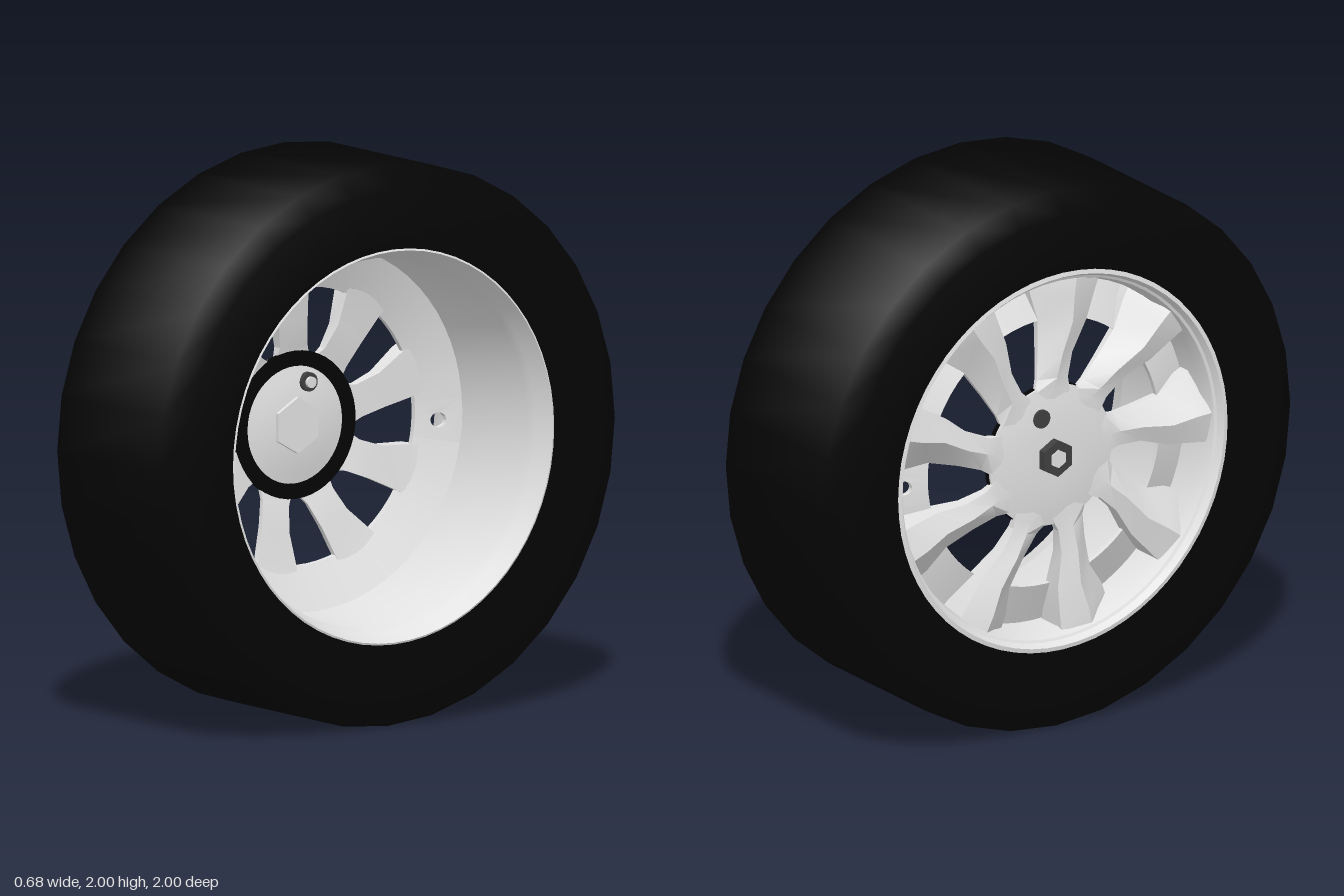
import * as THREE from 'three';
import { toCreasedNormals } from 'three/addons/utils/BufferGeometryUtils.js';

const rubber = new THREE.MeshStandardMaterial({ color: 0x040404, side: THREE.DoubleSide });
rubber.name = 'black rubber';
const alloy = new THREE.MeshStandardMaterial({ color: 0xe2e2e2, side: THREE.DoubleSide });
alloy.name = 'light alloy';
const steel = new THREE.MeshStandardMaterial({ color: 0x404040, side: THREE.DoubleSide });
steel.name = 'dark steel';

const deg = Math.PI / 180;
const BORE = 0.495, FLANGE = 0.655;
const flangeX = (r) => -0.2 + (r - BORE) * 0.45;

function addMesh(parent, name, geometry, material, crease = 0.5) {
  const mesh = new THREE.Mesh(toCreasedNormals(geometry, crease), material);
  mesh.name = name;
  parent.add(mesh);
  return mesh;
}

// Revolve [radius, x] points around the axle (the x axis)
function turned(profile, segments, start = 0, length = Math.PI * 2) {
  const points = profile.map(([r, x]) => new THREE.Vector2(r, x));
  return new THREE.LatheGeometry(points, segments, start, length).rotateZ(-Math.PI / 2);
}

// Small sector of the sloping flange, pierced by the valve hole
function valvePatchGeometry(from, to) {
  const shape = new THREE.Shape();
  shape.absarc(0, 0, FLANGE, from, to);
  shape.absarc(0, 0, BORE, to, from, true);
  shape.holes.push(new THREE.Path().absarc(0.572, -0.03, 0.026, 0, Math.PI * 2, true));
  const g = new THREE.ExtrudeGeometry(shape, { depth: 0.02, bevelEnabled: false, curveSegments: 16 });
  g.rotateY(Math.PI / 2);
  const p = g.attributes.position;
  for (let i = 0; i < p.count; i++) {
    const r = Math.hypot(p.getY(i), p.getZ(i));
    p.setX(i, p.getX(i) - 0.02 + flangeX(r));
  }
  return g;
}

// Folded blade: cross-sections from the hub out to the rim
function spokeGeometry() {
  // radius, middle angle, angular width, then x of leading edge, ridge, trailing edge, back
  const sections = [
    [0.19, 0, 40, -0.268, -0.27, -0.266, -0.25],
    [0.25, -1, 34, -0.268, -0.275, -0.264, -0.25],
    [0.29, -2, 24, -0.268, -0.28, -0.25, -0.235],
    [0.38, -4, 19, -0.268, -0.29, -0.235, -0.215],
    [0.50, -7, 20, -0.27, -0.30, -0.22, -0.195],
    [0.60, -6, 22, -0.275, -0.305, -0.21, -0.17],
    [0.66, -6, 22, -0.28, -0.305, -0.2, -0.155],
  ];
  const positions = [], index = [], n = 5;
  for (const [r, mid, width, xa, xr, xb, back] of sections) {
    const a = mid - width / 2, b = mid + width / 2, ridge = mid - width * 0.05;
    const loop = [[a, xa], [ridge, xr], [b, xb], [b, back], [a, back]];
    for (const [t, x] of loop) positions.push(x, r * Math.cos(t * deg), -r * Math.sin(t * deg));
  }
  for (let s = 0; s < sections.length - 1; s++) {
    for (let i = 0; i < n; i++) {
      const p = s * n + i, q = s * n + (i + 1) % n;
      index.push(p, q, p + n, q, q + n, p + n);
    }
  }
  const g = new THREE.BufferGeometry();
  g.setAttribute('position', new THREE.Float32BufferAttribute(positions, 3));
  g.setIndex(index);
  return g;
}

export function createModel() {
  const model = new THREE.Group();
  model.name = 'wheel';
  const wheel = new THREE.Group();
  wheel.name = 'wheelParts';
  wheel.position.y = 1;
  model.add(wheel);

  // Tyre with chamfered shoulders
  addMesh(wheel, 'tyre', turned([
    [0.703, -0.338], [0.915, -0.342], [1, -0.297], [1, 0.297],
    [0.915, 0.342], [0.703, 0.338], [0.703, -0.338],
  ], 32), rubber, 1.2);

  // Rim barrel with a lip at both ends
  addMesh(wheel, 'rimBarrel', turned([
    [0.704, -0.338], [0.675, -0.25], [0.675, 0.25], [0.704, 0.338], [0.697, 0.341],
    [0.672, 0.27], [0.66, 0.24], [0.65, -0.13], [0.65, -0.26], [0.665, -0.31],
    [0.675, -0.315], [0.688, -0.341], [0.704, -0.338],
  ], 64), alloy);

  // Sloping flange behind the spokes, closed by the valve patch
  const from = -0.177, to = 0.073;
  addMesh(wheel, 'rimFlange', turned([
    [BORE, flangeX(BORE) - 0.02], [FLANGE, flangeX(FLANGE) - 0.02],
    [FLANGE, flangeX(FLANGE)], [BORE, flangeX(BORE)], [BORE, flangeX(BORE) - 0.02],
  ], 64, Math.PI + to, Math.PI * 2 - (to - from)), alloy);
  addMesh(wheel, 'valvePatch', valvePatchGeometry(from, to), alloy);

  // Nine blade spokes
  const blade = spokeGeometry();
  for (let i = 0; i < 9; i++) {
    addMesh(wheel, 'spoke', blade, alloy, 0.35).rotation.x = -i * 40 * deg;
  }

  // Hub with domed outer face, and black ring on its inner side
  addMesh(wheel, 'hub', turned([
    [0, -0.28], [0.1, -0.28], [0.19, -0.275], [0.26, -0.264], [0.26, -0.25],
    [0.2, -0.245], [0.17, -0.235], [0, -0.235],
  ], 48), alloy);
  addMesh(wheel, 'hubRing', turned([
    [0.21, -0.255], [0.264, -0.255], [0.264, -0.238], [0.21, -0.238], [0.21, -0.255],
  ], 48), rubber);

  // Hexagonal centre nut outside, hexagonal boss inside
  const hex = (radius, depth, x) => new THREE.CylinderGeometry(radius, radius, depth, 6)
    .rotateY(Math.PI / 6).rotateZ(-Math.PI / 2).translate(x, 0, 0);
  addMesh(wheel, 'centreNut', hex(0.068, 0.035, -0.292), steel);
  addMesh(wheel, 'centreNutCap', hex(0.034, 0.008, -0.31), alloy);
  addMesh(wheel, 'innerBoss', hex(0.1, 0.02, -0.23), alloy);

  // Small locating pin through the hub
  const pin = (radius, depth, x) =>
    new THREE.CylinderGeometry(radius, radius, depth, 20).rotateZ(-Math.PI / 2).translate(x, 0.15, -0.05);
  addMesh(wheel, 'pinCollar', pin(0.034, 0.065, -0.252), steel);
  addMesh(wheel, 'pinTip', pin(0.02, 0.02, -0.217), alloy);

  return model;
}
